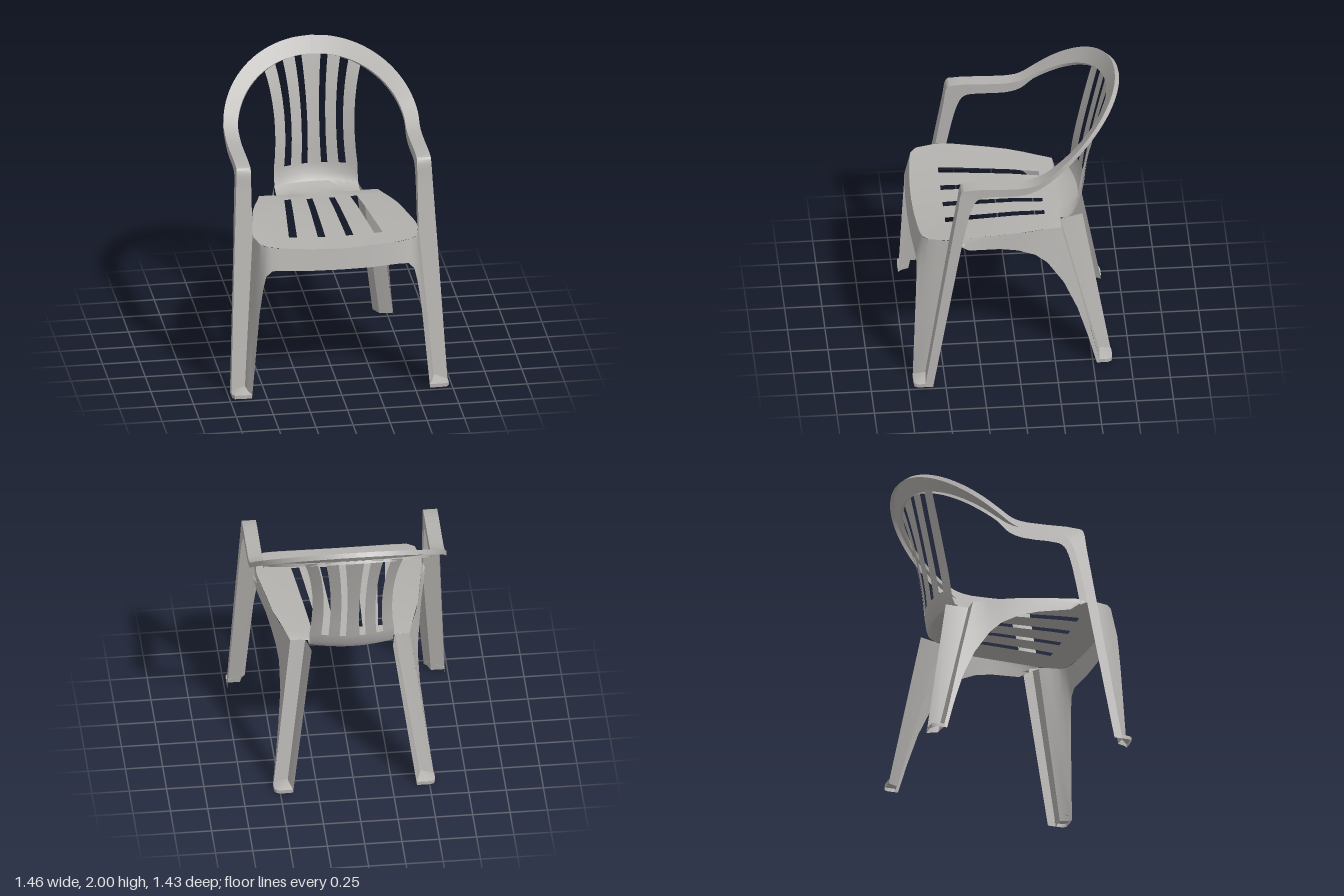
import * as THREE from 'three';
import { toCreasedNormals } from 'three/addons/utils/BufferGeometryUtils.js';

const plastic = new THREE.MeshStandardMaterial({ color: 0xb3b1ae, side: THREE.DoubleSide });
plastic.name = 'greyPlastic';

const mix = THREE.MathUtils.lerp;

// Sheet through rows of [x, y, z] points; skip(row, column) leaves a hole
function sheet(rows, skip = () => false) {
  const n = rows[0].length, index = [];
  for (let r = 0; r < rows.length - 1; r++) {
    for (let c = 0; c < n - 1; c++) {
      if (skip(r, c)) continue;
      const a = r * n + c, b = a + n;
      index.push(a, b, a + 1, a + 1, b, b + 1);
    }
  }
  const g = new THREE.BufferGeometry();
  g.setAttribute('position', new THREE.Float32BufferAttribute(rows.flat(2), 3));
  g.setIndex(index);
  return toCreasedNormals(g, 0.6);
}

// Straight-ruled strip between pairs of points, cut into k steps
const ruled = (pairs, k) => sheet(pairs.map(([a, b]) =>
  Array.from({ length: k + 1 }, (_, i) => a.map((v, j) => mix(v, b[j], i / k)))));

// Smooth curve through control points, sampled evenly per segment
function rail(points, steps) {
  const curve = new THREE.CatmullRomCurve3(points.map(p => new THREE.Vector3(...p)));
  return curve.getPoints((points.length - 1) * steps).map(v => v.toArray());
}

// One cross row of the shell, bowed by dz and dy towards its side edges
function shellRow(y, z, slots, edge, dz, dy) {
  const half = [...slots, (slots[3] + edge) / 2, edge];
  return [...half.map(x => -x).reverse(), 0, ...half].map(x => {
    const q = (x / edge) ** 2;
    return [x, y + dy * q, z + dz * q];
  });
}

// Seat, bend and back as one shell with four slots in the seat and four in the back
function shellGeometry() {
  const rows = [], open = [];
  const seatSlots = z => [[0.055, 0.07], [0.095, 0.12], [0.2, 0.26], [0.245, 0.315]]
    .map(([rear, front]) => mix(rear, front, (z + 0.2) / 0.67));
  // z, y, half width, edge offset in z and y
  for (const [z, y, edge, dz, dy] of [
    [0.675, 1.035, 0.48, -0.035, 0.025], [0.61, 1.035, 0.528, -0.01, 0.03],
    [0.47, 1.036, 0.555, 0, 0.032], [0.37, 1.038, 0.55, 0, 0.032],
    [0, 1.035, 0.487, 0, 0.015], [-0.2, 1.022, 0.427, 0, 0.01], [-0.3, 1.015, 0.4, 0, 0.005],
  ]) {
    rows.push(shellRow(y, z, seatSlots(z), edge, dz, dy));
    open.push(z > -0.2 && z < 0.5);
  }
  // The back is narrowest at y = 1.4 and fans out above
  const backRow = (y, z, dz, dy) => {
    const fan = y < 1.16 ? 0.24 : ((y - 1.4) / 0.49) ** 2;
    const [a, b, c, d, edge] = [[0.04, 0.065], [0.08, 0.112], [0.15, 0.195], [0.195, 0.25], [0.267, 0.33]]
      .map(([waist, top]) => mix(waist, top, fan));
    rows.push(shellRow(y, z, [a, b, c, d], edge, dz, dy));
    open.push(y >= 1.16);
  };
  for (const [y, z, dz] of [[1.015, -0.302, 0], [1.02, -0.38, 0.03], [1.045, -0.44, 0.05], [1.09, -0.468, 0.06]]) {
    backRow(y, z, dz, 0);
  }
  for (let i = 0; i <= 8; i++) {
    const t = i / 8;
    backRow(1.16 + 0.73 * t, -0.482 - 0.15 * t ** 1.3, 0.065, -0.05 * t ** 3);
  }
  const slotColumns = [2, 4, 7, 9];
  return sheet(rows, (r, c) => open[r] && slotColumns.includes(c));
}

// Arm and rim, each section running outer lip, outer edge, inner edge, inner lip
function armGeometry() {
  const sections = [];
  // Arm: edge y, z and lip y, z
  for (const [y, z, lipY, lipZ] of [
    [1.06, 0.467, 1.04, 0.40], [1.2, 0.444, 1.2, 0.368], [1.4, 0.411, 1.375, 0.325],
    [1.515, 0.392, 1.45, 0.288], [1.533, 0.372, 1.472, 0.245],
    [1.531, 0, 1.475, 0], [1.548, -0.1, 1.503, -0.1],
  ]) {
    const x = 0.655 + 0.05 * Math.max(0, 1.53 - y);
    sections.push([[x, lipY, lipZ], [x, y, z], [0.56, y, z], [0.56, lipY - 0.015, lipZ]]);
  }
  // Rim: two ellipses in front view, leaning back as they rise
  for (let i = 0; i <= 8; i++) {
    const a = mix(0.11, Math.PI / 2, i / 8), s = Math.sin(a), c = Math.cos(a);
    const yo = 1.56 + 0.44 * s, zo = -0.2 - 1.25 * (yo - 1.61);
    const yi = 1.55 + 0.34 * s, zi = -0.2 - 1.48 * (yi - 1.6);
    sections.push([
      [0.66 * c, yo - 0.04 + 0.02 * s, zo - 0.028 * s], [0.66 * c, yo, zo],
      [0.563 * c, yi, zi], [0.563 * c, yi - 0.03 + 0.018 * s, zi - 0.02 * s],
    ]);
  }
  const rails = [0, 1, 2, 3].map(i => rail(sections.map(s => s[i]), 3));
  return sheet(rails[0].map((_, k) => rails.map(r => r[k])));
}

// Front apron, sweeping round the corner into the inner panel of the front leg
const apron = [
  [[0, 1.035, 0.675], [0, 0.893, 0.70]],
  [[0.2, 1.04, 0.67], [0.2, 0.895, 0.697]],
  [[0.4, 1.053, 0.655], [0.4, 0.905, 0.687]],
  [[0.46, 1.058, 0.645], [0.46, 0.902, 0.682]],
  [[0.48, 1.06, 0.64], [0.5, 0.86, 0.678]],
  [[0.495, 1.061, 0.63], [0.52, 0.77, 0.68]],
  [[0.505, 1.062, 0.622], [0.545, 0.6, 0.687]],
  [[0.528, 1.065, 0.6], [0.6, 0, 0.712]],
  [[0.543, 1.067, 0.53], [0.622, 0, 0.69]],
  [[0.56, 1.067, 0.466], [0.64, 0, 0.64]],
];

// Side skirt running down into the outer flange of the rear leg
const skirt = [
  [[0.556, 1.068, 0.466], [0.575, 1.03, 0.40]],
  [[0.55, 1.07, 0.37], [0.56, 0.98, 0.33]],
  [[0.51, 1.058, 0.12], [0.52, 0.952, 0.12]],
  [[0.487, 1.05, 0], [0.5, 0.92, 0]],
  [[0.455, 1.04, -0.12], [0.478, 0.86, -0.12]],
  [[0.427, 1.032, -0.2], [0.465, 0.785, -0.2]],
  [[0.4, 1.02, -0.3], [0.468, 0.62, -0.31]],
  [[0.455, 0.62, -0.4], [0.49, 0.42, -0.4]],
  [[0.513, 0.2, -0.5], [0.515, 0.2, -0.47]],
  [[0.54, 0, -0.55], [0.54, 0, -0.525]],
];

// Foot: sloping cap from an apex in the groove, with a short upright rim
function foot(apex, outline) {
  return sheet([
    outline.map(() => apex),
    outline.map(([x, z]) => [x, 0.025, z]),
    outline.map(([x, z]) => [x, 0, z]),
  ]);
}

export function createModel() {
  const chair = new THREE.Group();
  chair.name = 'armchair';
  const add = (name, geometry, parent) => {
    const mesh = new THREE.Mesh(geometry, plastic);
    mesh.name = name;
    parent.add(mesh);
  };
  add('seatAndBack', shellGeometry(), chair);

  const parts = {
    armAndRim: armGeometry(),
    frontApron: ruled(apron, 5),
    sideSkirt: ruled(skirt, 2),
    frontLeg: sheet([
      [[0.678, 1.04, 0.40], [0.679, 1.06, 0.467], [0.56, 1.06, 0.467]],
      [[0.73, 0, 0.585], [0.73, 0, 0.64], [0.64, 0, 0.64]],
    ]),
    rearLeg: sheet([
      [[0.4, 1.02, -0.3], [0.3, 1.02, -0.3], [0.272, 1.035, -0.45]],
      [[0.54, 0, -0.55], [0.45, 0, -0.56], [0.415, 0, -0.63]],
    ]),
    frontFoot: foot([0.64, 0.06, 0.63],
      [[0.73, 0.63], [0.73, 0.685], [0.715, 0.71], [0.66, 0.714], [0.6, 0.712]]),
    rearFoot: foot([0.447, 0.06, -0.55],
      [[0.54, -0.54], [0.54, -0.6], [0.525, -0.625], [0.48, -0.632], [0.415, -0.63]]),
  };
  // Left half and its mirror image
  for (const [side, sign] of [['left', 1], ['right', -1]]) {
    const half = new THREE.Group();
    half.name = side + 'Half';
    half.scale.x = sign;
    for (const [name, geometry] of Object.entries(parts)) add(name, geometry, half);
    chair.add(half);
  }
  return chair;
}
